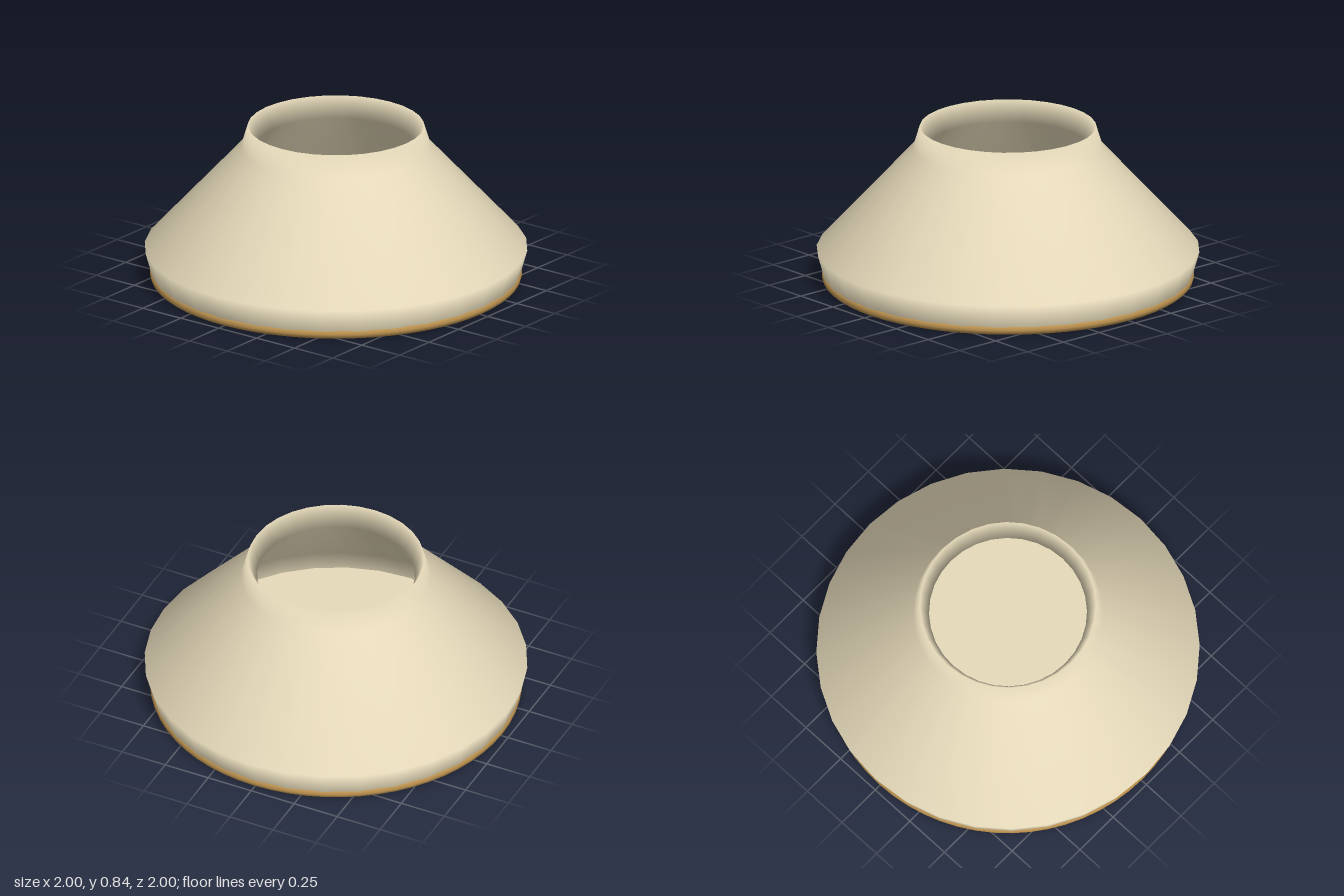
import * as THREE from 'three';

export function createModel() {
  const model = new THREE.Group();
  const cream = new THREE.MeshStandardMaterial({ color: 0xe6daba });
  cream.name = 'cream glaze';
  const gold = new THREE.MeshStandardMaterial({ color: 0xbb914f });
  gold.name = 'gold';

  const add = (name, geometry, material, y = 0) => {
    const mesh = new THREE.Mesh(geometry, material);
    mesh.name = name;
    mesh.position.y = y;
    model.add(mesh);
  };

  // Thick flared wall as a closed loop: foot, outside, sharp rim, then down the inside
  const profile = [
    [0.926, 0.02], [0.957, 0.015], [1, 0.17], [0.495, 0.725],
    [0.46, 0.84], [0.412, 0.73], [0.92, 0.17], [0.926, 0.02],
  ].map(([r, y]) => new THREE.Vector2(r, y));
  add('shell', new THREE.LatheGeometry(profile, 32), cream);

  // Floor slab set inside the base
  add('floor', new THREE.CylinderGeometry(0.86, 0.86, 0.02, 32), cream, 0.11);

  // Gold ring around the foot
  const ring = new THREE.TorusGeometry(0.944, 0.027, 10, 64).rotateX(Math.PI / 2);
  add('footRing', ring, gold, 0.027);

  return model;
}
